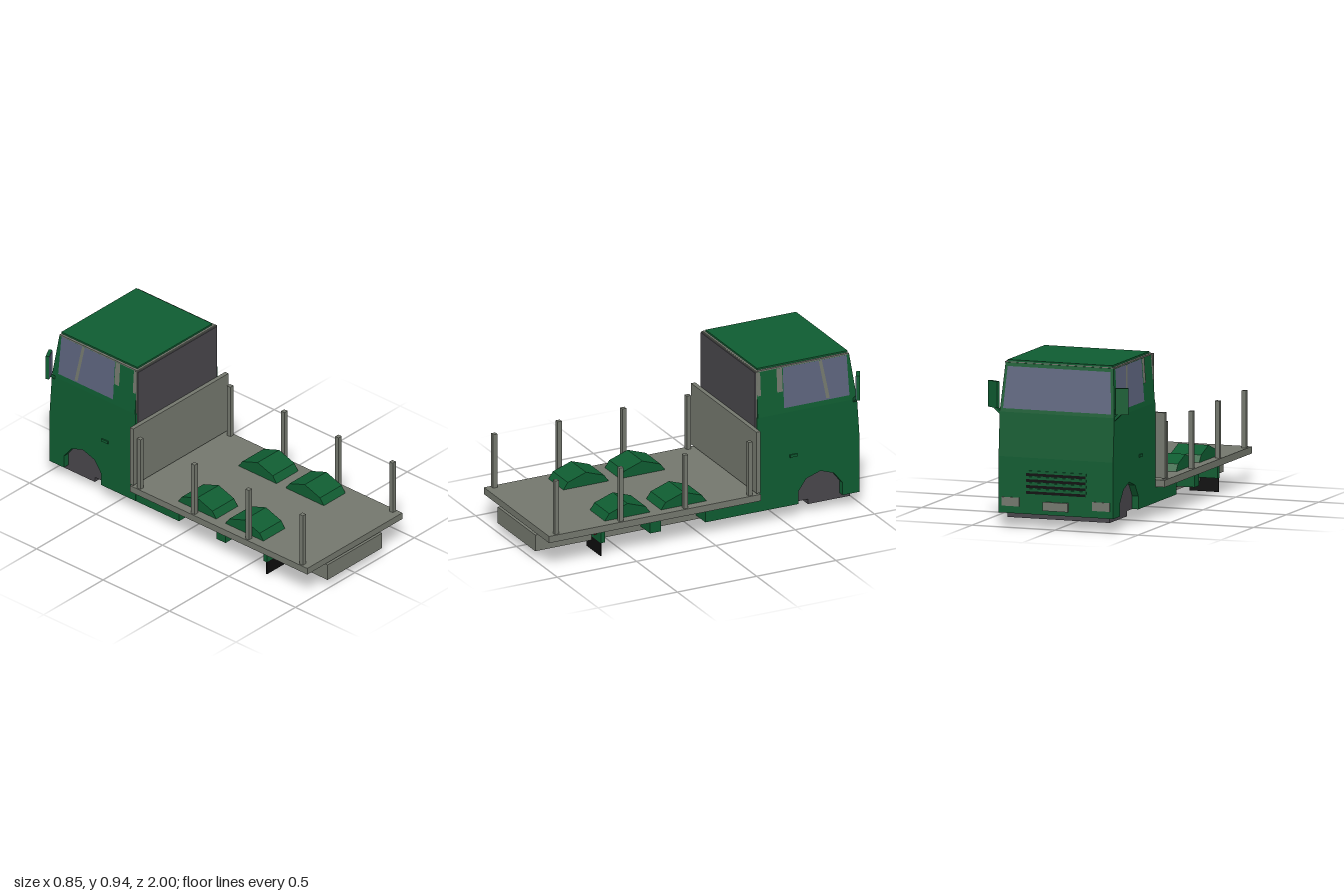
import * as THREE from 'three';

const mat = (name, color) => {
  const m = new THREE.MeshStandardMaterial({ color, side: THREE.DoubleSide, flatShading: true });
  m.name = name;
  return m;
};

export function createModel() {
  const green = mat('green paint', 0x0f5c31);
  const grey = mat('grey metal', 0x73776d);
  const dark = mat('dark grey', 0x48464b);
  const glass = mat('blue grey glass', 0x5c637c);
  const red = mat('red lamp', 0x960f28);
  const black = mat('black rubber', 0x0d0d0d);

  const truck = new THREE.Group();
  truck.name = 'flatbedTruck';
  const add = (name, geo, m) => {
    const mesh = new THREE.Mesh(geo, m);
    mesh.name = name;
    truck.add(mesh);
    return mesh;
  };
  // box given by its limits
  const box = (name, m, x0, x1, y0, y1, z0, z1) => {
    const b = add(name, new THREE.BoxGeometry(Math.abs(x1 - x0), y1 - y0, Math.abs(z1 - z0)), m);
    b.position.set((x0 + x1) / 2, (y0 + y1) / 2, (z0 + z1) / 2);
    return b;
  };
  // outline in (z, y), extruded across x
  const profile = (name, m, pts, x0, x1) => {
    const a = Math.min(x0, x1), b = Math.max(x0, x1);
    const geo = new THREE.ExtrudeGeometry(new THREE.Shape(pts.map(p => new THREE.Vector2(...p))),
      { depth: b - a, bevelEnabled: false });
    return add(name, geo.rotateY(-Math.PI / 2).translate(b, 0, 0), m);
  };
  // flat plate through four corners
  const quad = (name, m, pts) => {
    const geo = new THREE.BufferGeometry();
    geo.setAttribute('position', new THREE.Float32BufferAttribute(pts.flat(), 3));
    geo.setIndex([0, 1, 2, 0, 2, 3]);
    geo.computeVertexNormals();
    return add(name, geo, m);
  };

  // upper cab: box with tapered sides and raked front
  const BELT = 0.65, TOP = 0.925;
  const t = y => (y - BELT) / (TOP - BELT);
  const sideX = y => 0.345 - 0.02 * t(y);
  const frontZ = y => -0.97 + 0.04 * t(y);
  const cab = new THREE.BoxGeometry(1, 1, 1);
  const p = cab.attributes.position;
  for (let i = 0; i < p.count; i++) {
    const y = p.getY(i) > 0 ? TOP : BELT;
    p.setXYZ(i, Math.sign(p.getX(i)) * sideX(y), y, p.getZ(i) > 0 ? -0.345 : frontZ(y));
  }
  cab.computeVertexNormals();
  add('upperCab', cab, green);
  box('roofGutter', grey, -0.33, 0.33, 0.922, 0.93, -0.342, -0.925);
  box('roof', green, -0.315, 0.315, 0.925, 0.94, -0.355, -0.925);
  box('cabBackFrame', grey, -0.335, 0.335, 0.18, 0.928, -0.35, -0.338);
  box('cabBackPanel', dark, -0.333, 0.333, 0.19, 0.922, -0.345, -0.333);

  // lower cab: front panel, dark interior, underside
  profile('frontPanel', green, [[-0.945, 0.08], [-0.945, BELT], [-0.97, BELT], [-0.987, 0.4], [-0.987, 0.08]], -0.305, 0.305);
  box('cabInterior', dark, -0.308, 0.308, 0.08, 0.64, -0.345, -0.945);
  box('cabUnderside', dark, -0.308, 0.308, 0.05, 0.08, -0.68, -0.945);

  // windscreen
  const wz = y => frontZ(y) - 0.003;
  quad('windscreen', glass, [[-0.325, 0.67, wz(0.67)], [-0.31, 0.905, wz(0.905)],
    [0.31, 0.905, wz(0.905)], [0.325, 0.67, wz(0.67)]]);

  // grille, number plate
  for (let i = 0; i < 4; i++) {
    const y = 0.195 + i * 0.034;
    box('grilleSlot', black, -0.18, 0.18, y, y + 0.016, -0.985, -0.989);
    box('grilleBar', green, -0.185, 0.185, y + 0.016, y + 0.03, -0.985, -0.993);
  }
  box('frontPlate', grey, -0.075, 0.075, 0.105, 0.155, -0.985, -1);

  // bed with openings for the wheel arches
  const bed = new THREE.Shape([[-0.4, -1], [0.4, -1], [0.4, 0.335], [-0.4, 0.335]].map(q => new THREE.Vector2(...q)));
  const archZ = [0.1225, 0.4775];
  for (const s of [-1, 1]) for (const z of archZ) {
    const [a, b] = [s * 0.17, s * 0.338];
    bed.holes.push(new THREE.Path([[a, -z - 0.135], [b, -z - 0.135], [b, -z + 0.135], [a, -z + 0.135]]
      .map(q => new THREE.Vector2(...q))));
  }
  add('bed', new THREE.ExtrudeGeometry(bed, { depth: 0.04, bevelEnabled: false })
    .rotateX(-Math.PI / 2).translate(0, 0.17, 0), grey);
  box('headboard', grey, -0.4, 0.4, 0.22, 0.592, -0.333, -0.308);
  box('chassis', grey, -0.23, 0.23, 0.057, 0.155, -0.335, 1);
  box('frameRail', dark, -0.163, 0.163, 0.15, 0.165, -0.335, 0.64);

  for (const s of [-1, 1]) {
    // cab side with wheel cut-out
    profile('cabSide', green, [[-0.34, 0.08], [-0.34, BELT], [-0.97, BELT], [-0.987, 0.4], [-0.987, 0.08],
      [-0.88, 0.08], [-0.88, 0.155], [-0.825, 0.225], [-0.74, 0.255], [-0.65, 0.225], [-0.6, 0.155], [-0.6, 0.08]],
    s * 0.305, s * 0.345);
    // plates lying on the tapered side, corners as (z, y)
    const sidePlate = (name, m, pts, lift) =>
      quad(name, m, pts.map(([z, y]) => [s * (sideX(y) + lift), y, z]));
    sidePlate('sideWindow', glass, [[-0.51, 0.68], [-0.51, 0.92], [-0.913, 0.92], [-0.922, 0.68]], 0.003);
    sidePlate('windowDivider', grey, [[-0.775, 0.69], [-0.735, 0.92], [-0.755, 0.92], [-0.797, 0.69]], 0.006);
    sidePlate('cabPillar', grey, [[-0.47, 0.78], [-0.47, 0.92], [-0.505, 0.92], [-0.505, 0.78]], 0.004);
    sidePlate('rearCabPillar', grey, [[-0.345, 0.78], [-0.345, 0.92], [-0.367, 0.92], [-0.367, 0.78]], 0.004);
    box('doorHandle', green, s * 0.34, s * 0.353, 0.374, 0.39, -0.545, -0.592);
    box('headlight', grey, s * 0.22, s * 0.325, 0.12, 0.17, -0.98, -0.991);

    // mirror, angled towards the driver
    const mirror = new THREE.Group();
    mirror.name = 'mirror';
    const housing = new THREE.Mesh(new THREE.BoxGeometry(0.075, 0.15, 0.02), green);
    housing.name = 'mirrorHousing';
    const face = new THREE.Mesh(new THREE.BoxGeometry(0.068, 0.144, 0.004), glass);
    face.name = 'mirrorGlass';
    face.position.z = 0.011;
    mirror.add(housing, face);
    mirror.position.set(s * 0.385, 0.745, -0.957);
    mirror.rotation.y = -s * 0.5;
    truck.add(mirror);
    const arm = box('mirrorArm', green, s * 0.33, s * 0.385, 0.648, 0.664, -0.945, -0.968);
    arm.rotation.z = s * 0.75;

    // wheel arches: bent shell, inner wall and outer cheek
    for (const z of archZ) {
      const outer = [[-0.143, 0.21], [-0.115, 0.25], [0, 0.29], [0.115, 0.25], [0.143, 0.21]].map(([a, y]) => [z + a, y]);
      const inner = [[0.133, 0.205], [0.108, 0.242], [0, 0.28], [-0.108, 0.242], [-0.133, 0.205]].map(([a, y]) => [z + a, y]);
      profile('wheelArch', green, [...outer, ...inner], s * 0.163, s * 0.345);
      profile('archInnerWall', green, [[z - 0.143, 0.08], ...outer, [z + 0.143, 0.08]], s * 0.163, s * 0.17);
      profile('archCheek', green, outer, s * 0.338, s * 0.345);
    }
    // skirts between the wheels
    for (const [a, b] of [[-0.6, -0.015], [0.267, 0.335], [0.62, 0.645]])
      box('skirt', green, s * 0.163, s * 0.344, 0.08, 0.17, a, b);
    box('mudFlap', black, s * 0.166, s * 0.342, 0, 0.08, 0.639, 0.645);
    box('tailLamp', red, s * 0.2, s * 0.288, 0.112, 0.15, 0.64, 0.657);

    // stakes along the bed edge
    for (const z of [-0.275, 0.132, 0.539, 0.946])
      box('stake', grey, s * 0.365, s * 0.391, 0.21, 0.535, z - 0.013, z + 0.013);
  }
  return truck;
}
